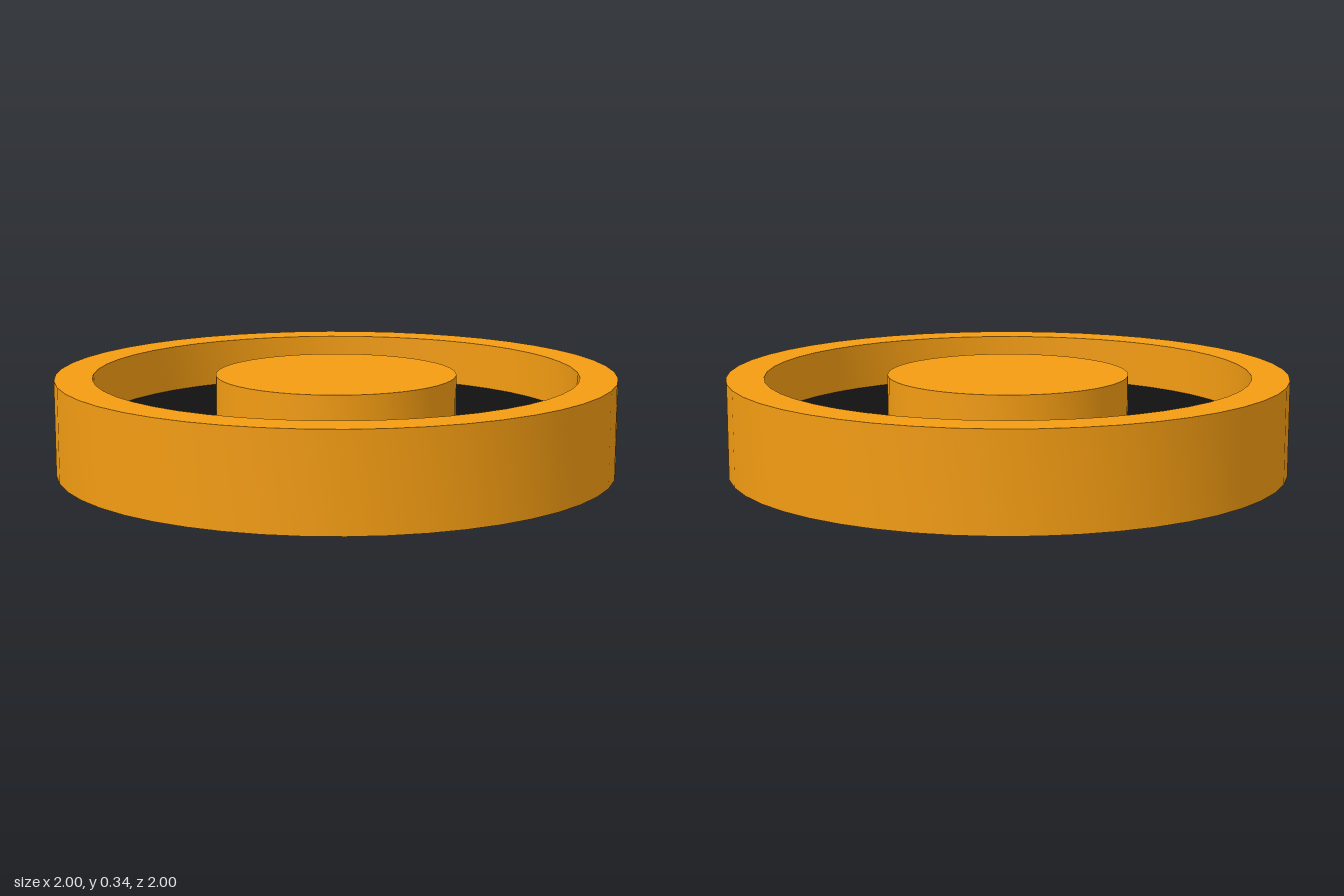
import * as THREE from 'three';
import { toCreasedNormals } from 'three/addons/utils/BufferGeometryUtils.js';

const SIDES = 48;
const HEIGHT = 0.34, FLOOR = 0.17;
const OUTER = 1, INNER = 0.866, HUB = 0.43;

export function createModel() {
  const group = new THREE.Group();
  const orange = new THREE.MeshStandardMaterial({ color: 0xf39c12 });
  const black = new THREE.MeshStandardMaterial({ color: 0x111111 });

  const add = (name, geometry, material) => {
    const mesh = new THREE.Mesh(geometry, material);
    mesh.name = name;
    group.add(mesh);
  };
  // Turned part with round sides and sharp rims
  const turned = (points) => toCreasedNormals(
    new THREE.LatheGeometry(points.map(([r, y]) => new THREE.Vector2(r, y)), SIDES), 0.5);

  // Closed base, outer wall, flat rim and inner wall
  add('outerRing', turned([[0, 0], [OUTER, 0], [OUTER, HEIGHT], [INNER, HEIGHT], [INNER, FLOOR]]), orange);

  // Raised centre, level with the rim
  add('hub', turned([[HUB, FLOOR], [HUB, HEIGHT], [0, HEIGHT]]), orange);

  // Dark floor of the recess
  add('recessFloor', new THREE.RingGeometry(HUB, INNER, SIDES).rotateX(-Math.PI / 2).translate(0, FLOOR, 0), black);

  return group;
}
